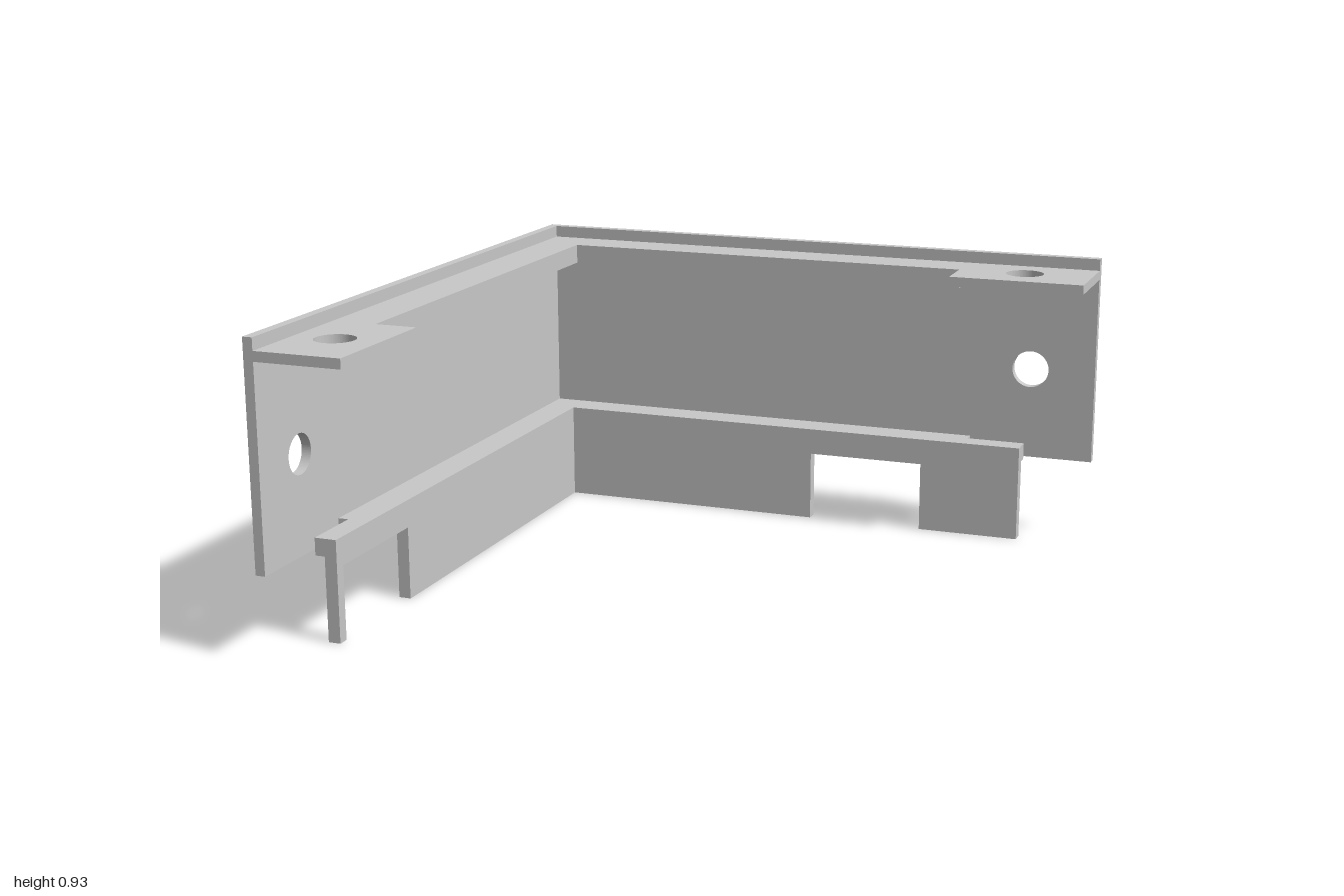
import * as THREE from 'three';

const HOLE_R = 0.06;

// Flat plate outlined by corner points, with optional round holes
function plateGeometry(points, depth, holes = []) {
  const shape = new THREE.Shape(points.map(([u, v]) => new THREE.Vector2(u, v)));
  for (const [u, v] of holes) {
    const hole = new THREE.Path();
    hole.absarc(u, v, HOLE_R, 0, Math.PI * 2, true);
    shape.holes.push(hole);
  }
  return new THREE.ExtrudeGeometry(shape, { depth, bevelEnabled: false, curveSegments: 40 });
}

const rect = (u0, u1, v0, v1) => [[u0, v0], [u1, v0], [u1, v1], [u0, v1]];

export function createModel() {
  const group = new THREE.Group();
  const lightGrey = new THREE.MeshStandardMaterial({ color: 0xc8c8c8 });

  const add = (name, geometry) => {
    const mesh = new THREE.Mesh(geometry, lightGrey);
    mesh.name = name;
    group.add(mesh);
  };
  // Plate facing z, outline in (x, y), running forward from z0
  const backPlate = (name, pts, z0, depth, holes) =>
    add(name, plateGeometry(pts, depth, holes).translate(0, 0, z0));
  // Plate facing x, outline in (z, y), running from x0 to x0 + depth
  const sidePlate = (name, pts, x0, depth, holes) =>
    add(name, plateGeometry(pts, depth, holes).rotateY(-Math.PI / 2).translate(x0 + depth, 0, 0));
  // Horizontal plate, outline in (x, z), from y0 to y1
  const flatPlate = (name, pts, y0, y1, holes) =>
    add(name, plateGeometry(pts, y1 - y0, holes).rotateX(Math.PI / 2).translate(0, y1, 0));

  // Outer walls
  backPlate('backWall', rect(-0.967, 0.967, 0.257, 0.93), -1, 0.03, [[0.755, 0.553]]);
  sidePlate('sideWall', rect(-0.97, 1, 0.257, 0.93), -0.967, 0.03, [[0.788, 0.553]]);

  // Upper rail around the inside corner
  flatPlate('upperRail', [
    [-0.937, -0.97], [0.54, -0.97], [0.54, -0.835],
    [-0.80, -0.835], [-0.80, 0.575], [-0.937, 0.575],
  ], 0.832, 0.893);

  // Mounting tabs at the rail ends
  flatPlate('backTab', rect(0.54, 0.967, -0.97, -0.703), 0.863, 0.893, [[0.753, -0.84]]);
  flatPlate('sideTab', rect(-0.937, -0.67, 0.575, 1), 0.863, 0.893, [[-0.808, 0.787]]);

  // Lower ledge; its ends stand clear of the walls
  flatPlate('lowerLedge', [
    [-0.937, -0.97], [0.56, -0.97], [0.56, -0.935], [0.75, -0.935], [0.75, -0.865],
    [-0.837, -0.865], [-0.837, 0.785], [-0.905, 0.785], [-0.905, 0.595], [-0.937, 0.595],
  ], 0.257, 0.31);

  // Notched skirts below the ledge
  backPlate('backSkirt', [
    [-0.875, 0], [0.038, 0], [0.038, 0.225], [0.42, 0.225],
    [0.42, 0], [0.75, 0], [0.75, 0.257], [-0.875, 0.257],
  ], -0.905, 0.04);
  sidePlate('sideSkirt', [
    [-0.865, 0], [0.363, 0], [0.363, 0.225], [0.75, 0.225],
    [0.75, 0], [0.785, 0], [0.785, 0.257], [-0.865, 0.257],
  ], -0.875, 0.038);

  return group;
}
